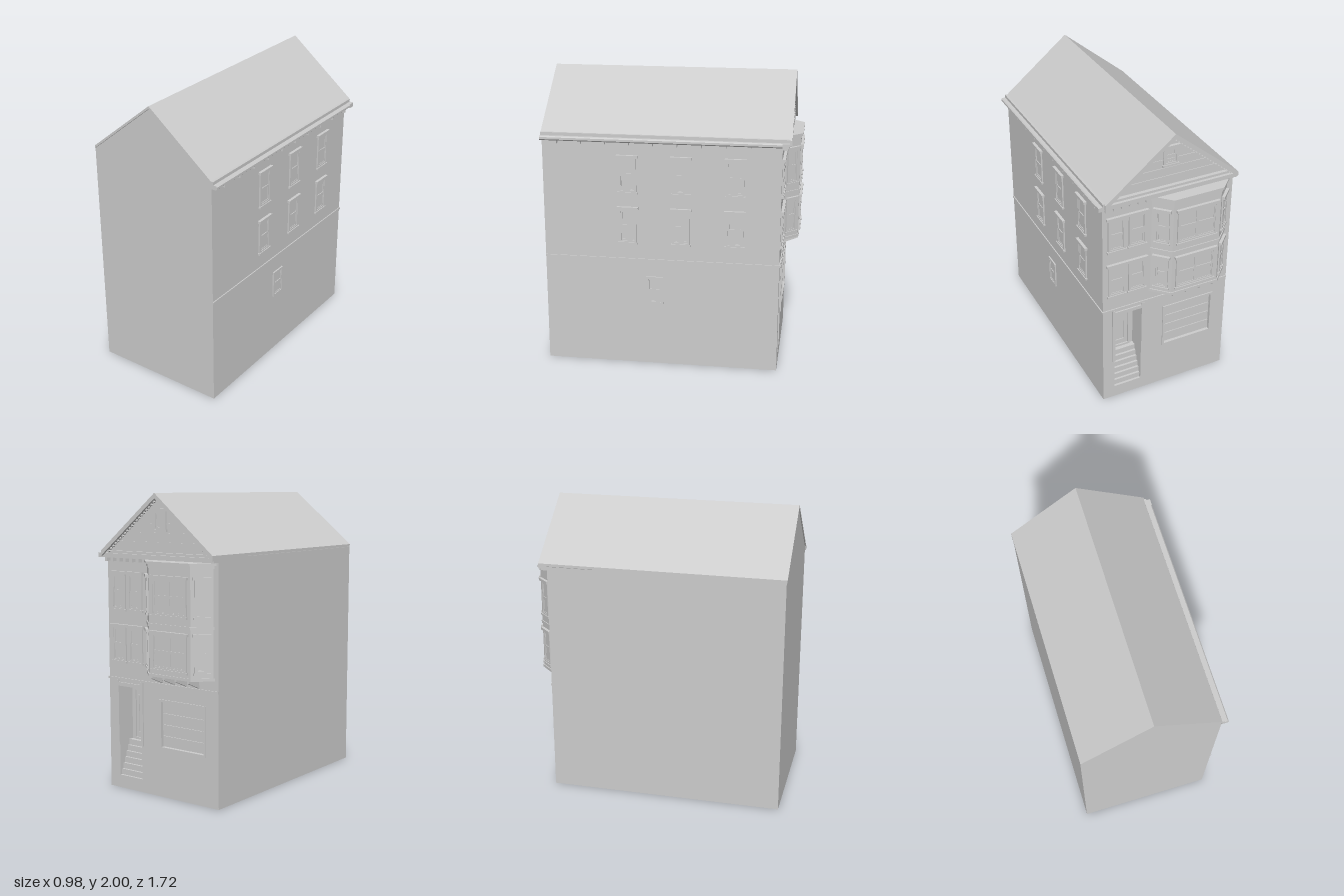
import * as THREE from 'three';

const grey = new THREE.MeshStandardMaterial({ color: 0xcccccc, side: THREE.DoubleSide });

// House extents: street facade at BACK (-z), window wall at RIGHT (+x)
const LEFT = -0.49, RIGHT = 0.44, BACK = -0.74, FRONT = 0.855;
const MID = -0.025, EAVE = 1.6, APEX = 1.98;

function add(parent, name, geo, x = 0, y = 0, z = 0) {
  const m = new THREE.Mesh(geo, grey);
  m.name = name;
  m.position.set(x, y, z);
  parent.add(m);
  return m;
}

// Box given by its min / max corners
function block(parent, name, x0, x1, y0, y1, z0, z1) {
  return add(parent, name, new THREE.BoxGeometry(x1 - x0, y1 - y0, z1 - z0),
    (x0 + x1) / 2, (y0 + y1) / 2, (z0 + z1) / 2);
}

function poly(pts) {
  return new THREE.Shape(pts.map(p => new THREE.Vector2(p[0], p[1])));
}

function rect(x0, x1, y0, y1) {
  return poly([[x0, y0], [x1, y0], [x1, y1], [x0, y1]]);
}

function extrude(shape, depth) {
  return new THREE.ExtrudeGeometry(shape, { depth, bevelEnabled: false });
}

// Rectangular ring, outer size w x h, centred on the origin, standing out from z = 0
function ring(w, h, t, depth) {
  const s = rect(-w / 2, w / 2, -h / 2, h / 2);
  s.holes.push(rect(-w / 2 + t, w / 2 - t, -h / 2 + t, h / 2 - t));
  return extrude(s, depth);
}

// Local frame on a wall: x along it, y up, z outward
function wallFrame(parent, name, x, z, angle) {
  const g = new THREE.Group();
  g.name = name;
  g.position.set(x, 0, z);
  g.rotation.y = angle;
  parent.add(g);
  return g;
}

// Sash window with casing, and optional lintel and sill
function sashWindow(parent, u, y0, y1, w, cols = 1, trim = true) {
  const g = new THREE.Group();
  g.name = 'window';
  g.position.set(u, (y0 + y1) / 2, 0);
  parent.add(g);
  const h = y1 - y0, t = 0.014;
  add(g, 'casing', ring(w, h, t, 0.01));
  block(g, 'glass', -w / 2 + t, w / 2 - t, -h / 2 + t, h / 2 - t, 0, 0.002);
  const cw = (w - 2 * t) / cols;
  for (let c = 0; c < cols; c++) {
    const cx = -w / 2 + t + cw * (c + 0.5);
    for (const s of [-1, 1]) {
      add(g, 'sash', ring(cw, h / 2 - t, 0.009, s > 0 ? 0.007 : 0.005), cx, s * (h / 4 - t / 2), 0);
    }
  }
  if (trim) {
    block(g, 'lintel', -w / 2 - 0.012, w / 2 + 0.012, h / 2 - 0.003, h / 2 + 0.015, 0, 0.02);
    block(g, 'sill', -w / 2 - 0.007, w / 2 + 0.007, -h / 2 - 0.01, -h / 2 + 0.004, 0, 0.016);
  }
}

// Three-sided bay prism; o widens every face outward
const BAY_X = -0.1775;
function bayPrism(parent, name, o, y0, y1) {
  const f = 0.171 + 0.414 * o, b = 0.273 + 1.414 * o;
  const geo = extrude(poly([[-b, 0.74], [-f, 0.842 + o], [f, 0.842 + o], [b, 0.74]]), y1 - y0);
  geo.rotateX(-Math.PI / 2);
  add(parent, name, geo, BAY_X, y0, 0);
}

export function createModel() {
  const house = new THREE.Group();
  house.name = 'townhouse';

  // Shell, open underneath
  const gable = () => poly([[LEFT, 0], [RIGHT, 0], [RIGHT, EAVE], [MID, APEX], [LEFT, EAVE]]);
  add(house, 'plainGableWall', new THREE.ShapeGeometry(gable()), 0, 0, FRONT);
  const facadeShape = gable();
  facadeShape.holes.push(rect(0.155, 0.355, 0.05, 0.71), rect(-0.375, -0.02, 0.34, 0.645));
  add(house, 'facadeWall', new THREE.ShapeGeometry(facadeShape), 0, 0, BACK);
  for (const [x, s, name] of [[LEFT, -1, 'plainSideWall'], [RIGHT, 1, 'windowSideWall']]) {
    const wall = add(house, name, new THREE.PlaneGeometry(FRONT - BACK, EAVE), x, EAVE / 2, (FRONT + BACK) / 2);
    wall.rotation.y = s * Math.PI / 2;
  }

  // Roof and street-side bargeboards
  const chevron = (drop) => poly([[LEFT, 1.62], [MID, 2], [RIGHT + 0.005, 1.62],
    [RIGHT + 0.005, 1.62 - drop], [MID, 2 - drop], [LEFT, 1.62 - drop]]);
  add(house, 'roof', extrude(chevron(0.018), 1.645), 0, 0, -0.785);
  add(house, 'bargeboard', extrude(chevron(0.035), 0.015), 0, 0, -0.8);
  for (const s of [-1, 1]) {
    for (let i = 1; i < 22; i++) {
      const t = i / 22;
      const d = add(house, 'rakeDentil', new THREE.BoxGeometry(0.01, 0.012, 0.012),
        MID + s * 0.46 * t, 1.96 - 0.376 * t, -0.778);
      d.rotation.z = -s * 0.685;
    }
  }

  // Side wall: windows, belt, gutter and brackets
  const side = wallFrame(house, 'sideDetails', RIGHT, 0, Math.PI / 2);
  for (const z of [0.28, -0.08, -0.44]) {
    sashWindow(side, -z, 0.88, 1.115, 0.12);
    sashWindow(side, -z, 1.23, 1.47, 0.12);
  }
  sashWindow(side, -0.1, 0.445, 0.64, 0.115, 1, false);
  block(side, 'beltCourse', -FRONT, 0.745, 0.752, 0.766, 0, 0.007);
  block(side, 'frieze', -0.86, 0.785, 1.602, 1.625, 0, 0.016);
  const gutterProfile = poly([[0, 1.575], [0.036, 1.575], [0.045, 1.583], [0.045, 1.597], [0.038, 1.604], [0, 1.604]]);
  const gutter = add(side, 'gutter', extrude(gutterProfile, 1.645), -0.86, 0, 0);
  gutter.rotation.y = Math.PI / 2;
  gutter.scale.x = -1;
  gutter.geometry.scale(-1, 1, 1);
  gutter.scale.x = 1;
  gutter.geometry.scale(-1, 1, 1);
  gutter.geometry.rotateY(-Math.PI / 2);
  gutter.geometry.rotateY(Math.PI / 2);
  // turn the profile so it points outward along local +z
  gutter.rotation.y = -Math.PI / 2;
  gutter.position.x = 0.785;
  for (let i = 0; i < 10; i++) {
    const u = -0.755 + i * 0.1605;
    block(side, 'eaveBracket', u - 0.008, u + 0.008, 1.555, 1.576, 0, 0.034);
  }

  // Facade: belt, cornice, paired windows
  const street = wallFrame(house, 'facadeDetails', 0, BACK, Math.PI);
  block(street, 'beltCourse', -RIGHT - 0.007, -LEFT, 0.752, 0.766, 0, 0.007);
  block(street, 'cornice', -0.485, 0.49, 1.575, 1.604, 0, 0.045);
  block(street, 'corniceFillet', -0.455, 0.49, 1.604, 1.62, 0, 0.025);
  for (let i = 0; i < 6; i++) {
    const u = -0.425 + i * 0.056;
    block(street, 'corniceBracket', u - 0.008, u + 0.008, 1.55, 1.576, 0, 0.034);
  }
  for (const x of [0.342, 0.196]) {
    sashWindow(street, -x, 0.88, 1.115, 0.122);
    sashWindow(street, -x, 1.23, 1.47, 0.122);
  }

  // Gable: clapboards and attic window
  for (const y of [1.68, 1.74, 1.8]) {
    const half = (APEX - y) / 0.817 - 0.02;
    block(street, 'clapboard', -MID - half, -MID + half, y, y + 0.006, 0, 0.005);
  }
  sashWindow(street, -MID, 1.765, 1.885, 0.1);

  // Recessed entry with stairs and door
  const depth = 0.13, door = new THREE.Group();
  door.name = 'entry';
  house.add(door);
  const inner = BACK + depth;
  for (const x of [0.155, 0.355]) block(door, 'entrySideWall', x - 0.001, x + 0.001, 0, 0.71, BACK, inner);
  block(door, 'entryCeiling', 0.155, 0.355, 0.709, 0.711, BACK, inner);
  block(door, 'entryBackWall', 0.155, 0.355, 0.05, 0.71, inner, inner + 0.002);
  for (let i = 0; i < 7; i++) {
    const y = 0.05 + i * 0.0386;
    block(door, 'step', 0.156, 0.354, y, y + 0.0386, BACK + i * 0.0155, inner);
  }
  const leaf = wallFrame(door, 'frontDoor', 0.255, inner, Math.PI);
  add(leaf, 'doorFrame', ring(0.15, 0.36, 0.015, 0.01), 0, 0.5, 0);
  add(leaf, 'doorPanel', ring(0.09, 0.27, 0.012, 0.006), 0, 0.5, 0);
  for (const u of [-0.362, -0.148]) block(street, 'doorPilaster', u - 0.01, u + 0.01, 0.32, 0.752, 0, 0.009);
  block(street, 'doorHead', -0.355, -0.155, 0.71, 0.735, 0, 0.009);

  // Garage door in a shallow recess
  const garage = wallFrame(house, 'garageDoor', -0.1975, BACK, Math.PI);
  add(garage, 'garageFrame', ring(0.385, 0.335, 0.016, 0.028), 0, 0.4925, -0.02);
  block(garage, 'garageBacking', -0.178, 0.178, 0.34, 0.645, -0.022, -0.018);
  for (let i = 0; i < 4; i++) {
    const y = 0.344 + i * 0.0755;
    block(garage, 'garagePanel', -0.174, 0.174, y, y + 0.07, -0.018, -0.01);
  }

  // Bay window: body, bands, windows and support brackets
  const bay = new THREE.Group();
  bay.name = 'bayWindow';
  house.add(bay);
  bayPrism(bay, 'bayBody', 0, 0.83, 1.555);
  bayPrism(bay, 'bayBaseBand', 0.007, 0.83, 0.848);
  bayPrism(bay, 'bayMiddleBand', 0.006, 1.155, 1.175);
  bayPrism(bay, 'bayFrieze', 0.006, 1.535, 1.555);
  bayPrism(bay, 'bayCornice', 0.016, 1.555, 1.57);
  const faces = [
    [BAY_X, -0.842, Math.PI, 0.285, 2],
    [BAY_X + 0.222, -0.791, Math.PI * 0.75, 0.095, 1],
    [BAY_X - 0.222, -0.791, Math.PI * 1.25, 0.095, 1],
  ];
  for (const [x, z, angle, w, cols] of faces) {
    const face = wallFrame(bay, 'bayFace', x, z, angle);
    sashWindow(face, 0, 0.88, 1.115, w, cols);
    sashWindow(face, 0, 1.23, 1.47, w, cols);
  }
  for (let i = 0; i < 4; i++) {
    const geo = extrude(poly([[0, 0.77], [0.105, 0.815], [0.105, 0.83], [0, 0.83]]), 0.016);
    geo.rotateY(Math.PI / 2);
    add(bay, 'bayBracket', geo, BAY_X - 0.158 + i * 0.1, 0, BACK);
  }
  return house;
}
